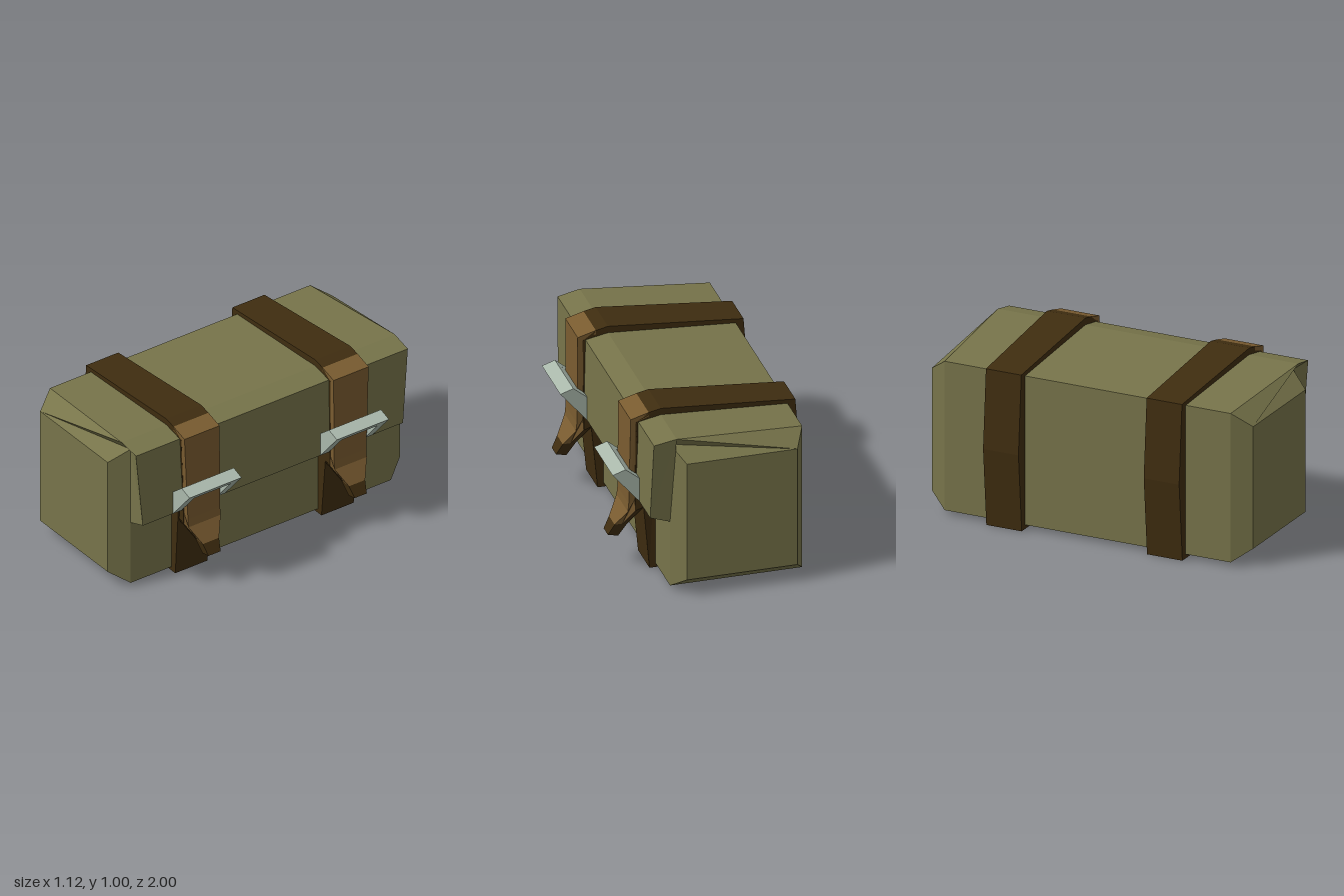
import * as THREE from 'three';

const canvas = new THREE.MeshStandardMaterial({ color: 0x77744a });
canvas.name = 'olive canvas';
const darkLeather = new THREE.MeshStandardMaterial({ color: 0x3f2d10 });
darkLeather.name = 'dark leather';
const leather = new THREE.MeshStandardMaterial({ color: 0x7a5c30 });
leather.name = 'brown leather';
const metal = new THREE.MeshStandardMaterial({ color: 0xaab9ac });
metal.name = 'pale metal';

function mesh(name, geometry, material) {
  const m = new THREE.Mesh(geometry, material);
  m.name = name;
  return m;
}

// Side profile (x, y) extruded from z0 to z1, with an optional rule moving vertices
function slab(points, z0, z1, rule, hole) {
  const toVec = ([x, y]) => new THREE.Vector2(x, y);
  const shape = new THREE.Shape(points.map(toVec));
  if (hole) shape.holes.push(new THREE.Path(hole.map(toVec)));
  const g = new THREE.ExtrudeGeometry(shape, { depth: z1 - z0, bevelEnabled: false });
  g.translate(0, 0, z0);
  const p = g.attributes.position;
  if (rule) for (let i = 0; i < p.count; i++) p.setZ(i, rule(p.getX(i), p.getY(i), p.getZ(i)));
  g.computeVertexNormals();
  return g;
}

// Bag body and overhanging flap: mirrored end faces joined by long panels
function bagGeometry() {
  const P = {
    A: [-0.48, 0.025, 0.89], B: [0.285, 0.025, 0.89], C: [0.285, 0.91, 0.89], D: [-0.48, 0.91, 0.89],
    a: [-0.42, 0.105, 1], b: [0.22, 0.105, 1], c: [0.22, 0.83, 1], d: [-0.42, 0.83, 1],
    E: [0.26, 0.96, 0.935], F: [0.39, 0.935, 0.93], G: [0.4, 0.465, 0.89], H: [0.285, 0.425, 0.89],
  };
  const verts = [];
  const fan = (pts) => {
    for (let i = 1; i < pts.length - 1; i++) verts.push(...pts[0], ...pts[i], ...pts[i + 1]);
  };
  const back = ([x, y, z]) => [x, y, -z];
  for (const face of ['abcd', 'ABba', 'BCcb', 'DAad', 'Cdc', 'dCE', 'dED', 'CHGFE']) {
    const pts = [...face].map((k) => P[k]);
    fan(pts);
    fan(pts.map(back).reverse());
  }
  const loop = [...'ABHGFED'].map((k) => P[k]);
  loop.forEach((p, i) => {
    const q = loop[(i + 1) % loop.length];
    fan([p, back(p), back(q), q]);
  });
  const g = new THREE.BufferGeometry();
  g.setAttribute('position', new THREE.Float32BufferAttribute(verts, 3));
  g.computeVertexNormals();
  return g;
}

// One strap with its tongue and buckle; s is the end of the bag it sits at
function strap(s) {
  const group = new THREE.Group();
  group.name = s > 0 ? 'frontStrap' : 'backStrap';
  const mid = 0.5 * s, half = 0.11;
  const z0 = mid - half, z1 = mid + half;

  // The strap widens outward over the flap
  const widen = (x, y, z) => (y > 0.9 && x > 0.2 && z * s > 0.5 ? z + 0.02 * s : z);
  // The tongue narrows to a blunt tip
  const taper = (x, y, z) => {
    let k = 1;
    if (y < 0.27) k = 0.35 + (0.15 * (y - 0.19)) / 0.08;
    else if (y < 0.37) k = 0.5 + (0.5 * (y - 0.27)) / 0.1;
    return mid + (widen(x, y, z) - mid) * k;
  };

  group.add(mesh('strapLoop', slab(
    [[-0.52, 0], [0.32, 0], [0.357, 0.385], [0.4, 0.42], [0.407, 0.93], [0.33, 0.985], [0.26, 1],
      [-0.525, 0.93], [-0.56, 0.465]],
    z0, z1, widen, [[-0.47, 0.035], [0.275, 0.035], [0.275, 0.9], [-0.47, 0.9]]), darkLeather));

  group.add(mesh('strapFront', slab(
    [[0.33, 0.985], [0.33, 0.96], [0.405, 0.935], [0.405, 0.44], [0.4, 0.37], [0.46, 0.27],
      [0.505, 0.27], [0.445, 0.37], [0.44, 0.42], [0.435, 0.955]],
    z0, z1, taper), leather));

  group.add(mesh('strapTip', slab(
    [[0.4, 0.42], [0.357, 0.385], [0.366, 0.37], [0.43, 0.27], [0.48, 0.19], [0.54, 0.205],
      [0.505, 0.27], [0.46, 0.27], [0.4, 0.37]],
    z0, z1, taper), darkLeather));

  // Buckle: two side arms and a top bar
  const c = 0.504 * s;
  const arm = [[0.4, 0.465], [0.555, 0.65], [0.48, 0.675], [0.4, 0.61]];
  const bar = [[0.521, 0.61], [0.555, 0.65], [0.48, 0.675], [0.44, 0.642]];
  const buckle = new THREE.Group();
  buckle.name = 'buckle';
  buckle.add(mesh('buckleArm', slab(arm, c - 0.178, c - 0.122), metal));
  buckle.add(mesh('buckleArm', slab(arm, c + 0.122, c + 0.178), metal));
  buckle.add(mesh('buckleBar', slab(bar, c - 0.122, c + 0.122), metal));
  group.add(buckle);
  return group;
}

export function createModel() {
  const model = new THREE.Group();
  model.name = 'satchel';
  model.add(mesh('bag', bagGeometry(), canvas));
  for (const s of [1, -1]) model.add(strap(s));
  return model;
}
